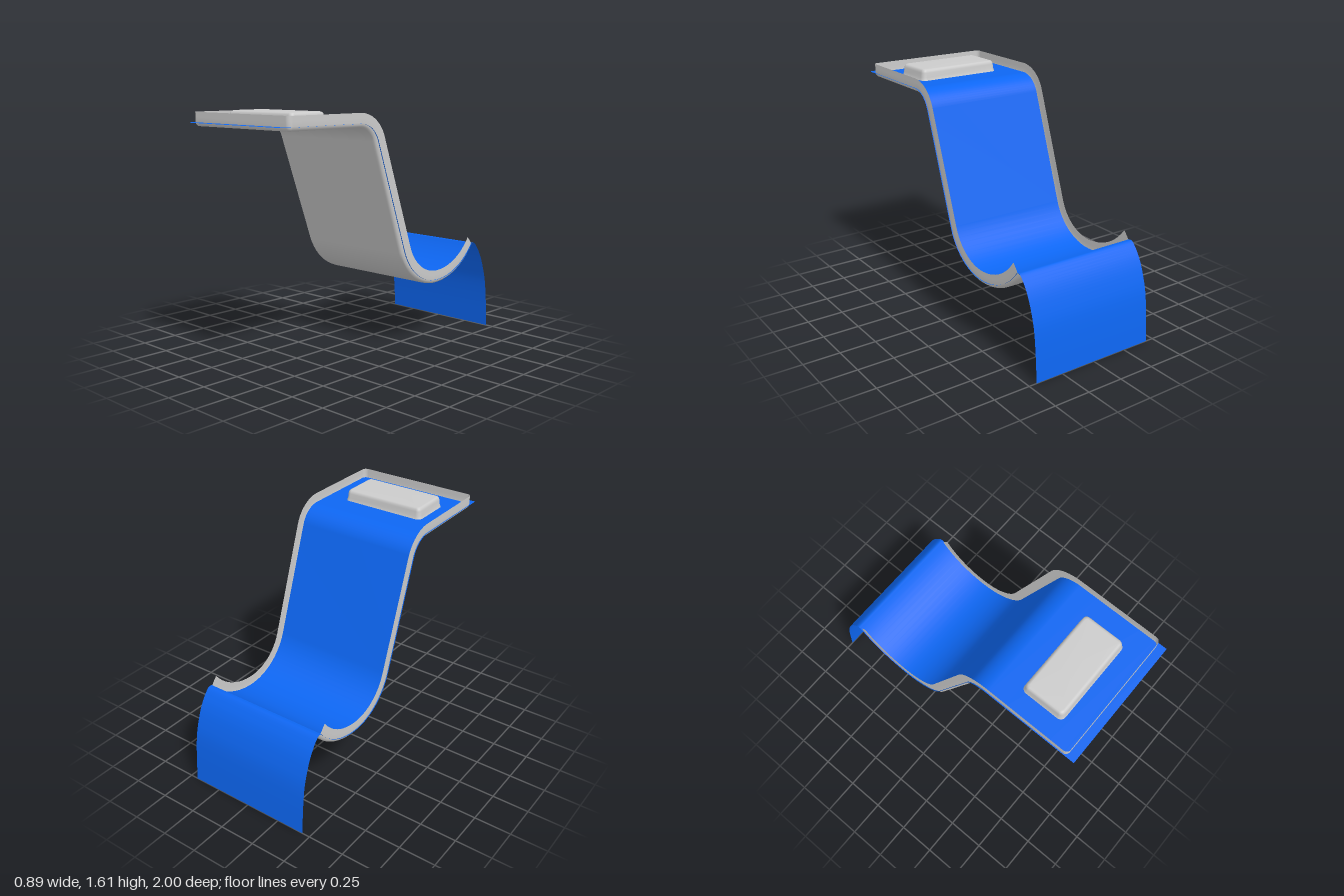
import * as THREE from 'three';

const grey = new THREE.MeshStandardMaterial({ color: 0xcccccc, side: THREE.DoubleSide });
const blue = new THREE.MeshStandardMaterial({ color: 0x0d66f2, side: THREE.DoubleSide });

// Smooth surface through rows of equally many points; skip(row, column) leaves holes
function loft(name, rows, material, skip = () => false) {
  const n = rows[0].length, index = [];
  for (let i = 0; i < rows.length - 1; i++) {
    for (let j = 0; j < n - 1; j++) {
      if (skip(i, j)) continue;
      const a = i * n + j, b = a + n;
      index.push(a, b, a + 1, b, b + 1, a + 1);
    }
  }
  const g = new THREE.BufferGeometry();
  g.setAttribute('position', new THREE.Float32BufferAttribute(rows.flat(2), 3));
  g.setIndex(index);
  g.computeVertexNormals();
  const mesh = new THREE.Mesh(g, material);
  mesh.name = name;
  return mesh;
}

// Point at depth d below the upper edge of the bent band
const below = (f, d, x) => [x, f.y - d * Math.cos(f.a), f.z + d * Math.sin(f.a)];

// Side line of the band: flat top, shoulder, steep slope, trough, raised end
function bandFrames() {
  const frames = [0.915, 0.81, 0.49].map(z => ({ z, y: 1.6, a: 0 }));
  const arc = (cz, cy, r, from, to, steps) => {
    for (let i = 0; i <= steps; i++) {
      const a = THREE.MathUtils.degToRad(from + (to - from) * i / steps);
      frames.push({ z: cz - r * Math.sin(a), y: cy + r * Math.cos(a), a });
    }
  };
  arc(0.36, 1.37, 0.23, 0, 70.3, 12);
  arc(-0.402, 0.811, -0.3, 70.3, 0, 12);
  arc(-0.402, 0.931, -0.42, -4, -50, 10);
  frames.push({ z: -0.751, y: 0.695, a: THREE.MathUtils.degToRad(-40) });
  return frames;
}

// Rounded rectangle in plan, closed
function roundedLoop(hx, hz, r, y, cz) {
  const pts = [];
  for (let q = 0; q < 4; q++) {
    const sx = q === 0 || q === 3 ? 1 : -1, sz = q < 2 ? 1 : -1;
    for (let i = 0; i <= 6; i++) {
      const t = (q + i / 6) * Math.PI / 2;
      pts.push([sx * (hx - r) + r * Math.cos(t), y, cz + sz * (hz - r) + r * Math.sin(t)]);
    }
  }
  pts.push(pts[0]);
  return pts;
}

export function createModel() {
  const model = new THREE.Group();
  const frames = bandFrames();

  // Tray rim: wall and bottom fillet run along one side, round the front and back
  const rim = [[0, 0], [0, 0.03], [0, 0.06], [0.003, 0.073], [0.009, 0.083], [0.018, 0.089], [0.03, 0.09]]
    .map(([inset, depth]) => {
      const r = 0.03 - inset, half = [];
      for (const f of [...frames].reverse()) half.push([f, 0.41 + r]);
      for (let i = 1; i <= 6; i++) {
        const t = i / 6 * Math.PI / 2;
        half.push([{ z: 0.915 + r * Math.sin(t), y: 1.6, a: 0 }, 0.41 + r * Math.cos(t)]);
      }
      const left = half.map(([f, x]) => below(f, depth, x));
      const right = half.map(([f, x]) => below(f, depth, -x)).reverse();
      return [...left, ...right];
    });
  model.add(loft('trayRim', rim, grey));

  // Tray floor, open beneath the raised pad
  const floor = frames.map(f => [-0.41, -0.32, 0.32, 0.41].map(x => below(f, 0.09, x)));
  model.add(loft('trayFloor', floor, grey, (i, j) => i === 1 && j === 1));

  // Thin sheet lying in the tray and sticking out at the front
  const w = 0.445;
  const strip = [{ z: 1, y: 1.6, a: 0 }, ...frames].map(f => [below(f, 0.065, -w), below(f, 0.065, w)]);
  model.add(loft('sheet', strip, blue));

  // Tail of the sheet, turning over the raised end down to the ground
  const [, endY, endZ] = strip[strip.length - 1][0];
  const tail = new THREE.CatmullRomCurve3([
    [endY, endZ], [0.645, -0.82], [0.59, -0.87], [0.53, -0.905],
    [0.455, -0.935], [0.35, -0.965], [0.2, -0.985], [0, -1],
  ].map(([y, z]) => new THREE.Vector3(0, y, z)));
  model.add(loft('sheetTail', tail.getPoints(28).map(p => [[-w, p.y, p.z], [w, p.y, p.z]]), blue));

  // Raised pad with flared foot, rounded top edge and flat cap
  const pad = [
    [0.02, 1.51], [0.008, 1.518], [0, 1.535], [-0.006, 1.555], [-0.009, 1.585],
    [-0.013, 1.599], [-0.021, 1.607], [-0.032, 1.61],
  ].map(([grow, y]) => roundedLoop(0.3 + grow, 0.15 + grow, 0.035 + grow * 0.7, y, 0.65));
  pad.push(pad[pad.length - 1].map(() => [0, 1.61, 0.65]));
  model.add(loft('raisedPad', pad, grey));

  return model;
}
